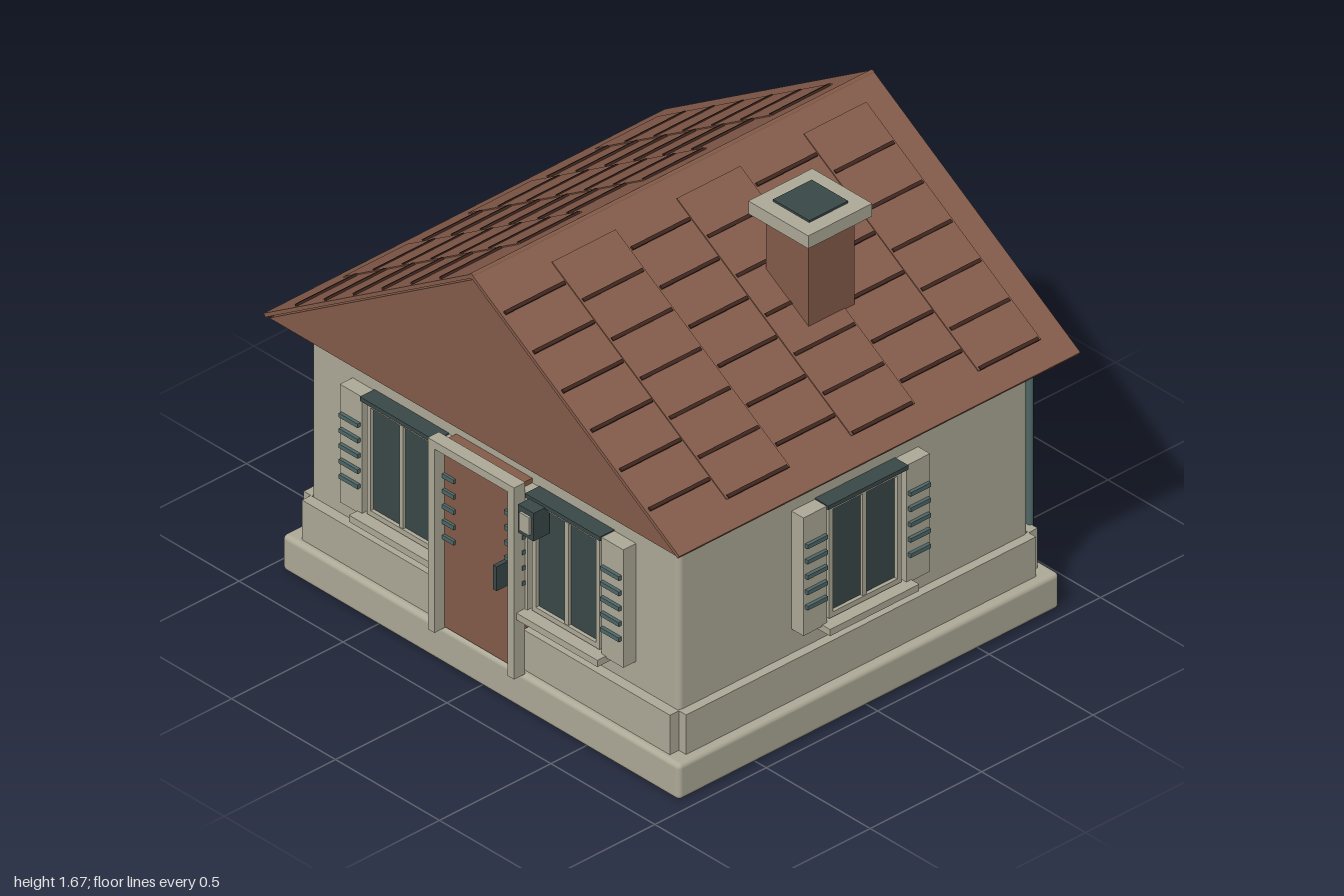
import * as THREE from 'three';
import { RoundedBoxGeometry } from 'three/addons/geometries/RoundedBoxGeometry.js';

const mat = (name, color) => {
  const m = new THREE.MeshStandardMaterial({ color });
  m.name = name;
  return m;
};

export function createModel() {
  const stone = mat('stone', 0xaeaa98);
  const brown = mat('clay brown', 0x855c4a);
  const groove = mat('dark brown', 0x40271f);
  const dark = mat('dark slate', 0x3a4848);
  const teal = mat('slat grey', 0x506868);

  const house = new THREE.Group();
  house.name = 'house';

  const add = (parent, name, geo, m) => {
    const mesh = new THREE.Mesh(geo, m);
    mesh.name = name;
    parent.add(mesh);
    return mesh;
  };
  // Box given by its extents on each axis
  const box = (parent, name, m, x0, x1, y0, y1, z0, z1, r = 0) => {
    const [w, h, d] = [x1 - x0, y1 - y0, z1 - z0];
    const geo = r ? new RoundedBoxGeometry(w, h, d, 3, r) : new THREE.BoxGeometry(w, h, d);
    const mesh = add(parent, name, geo, m);
    mesh.position.set((x0 + x1) / 2, (y0 + y1) / 2, (z0 + z1) / 2);
    return mesh;
  };

  // Base, walls and skirting
  box(house, 'base', stone, -0.955, 0.955, 0, 0.14, -0.86, 0.85, 0.018);
  box(house, 'walls', stone, -0.885, 0.885, 0.12, 0.99, -0.785, 0.785, 0.02);
  for (const s of [-1, 1]) {
    const x = s * 0.9, z = s * 0.805;
    box(house, 'sideSkirting', stone, x - 0.02, x + 0.02, 0.14, 0.295, -0.785, 0.785);
    box(house, 'endSkirting', stone, -0.885, 0.885, 0.14, 0.295, z - 0.02, z + 0.02);
  }

  // Window with frame, sill, lintel and slatted shutters, facing +z
  const addWindow = (x, z, turn) => {
    const g = new THREE.Group();
    g.name = 'window';
    g.position.set(x, 0, z);
    g.rotation.y = turn;
    house.add(g);
    box(g, 'surround', dark, -0.178, 0.178, 0.395, 0.85, -0.01, 0.03);
    box(g, 'lintel', dark, -0.18, 0.18, 0.84, 0.856, -0.01, 0.065);
    box(g, 'glass', dark, -0.15, 0.15, 0.41, 0.83, 0.03, 0.036);
    box(g, 'mullion', stone, -0.009, 0.009, 0.41, 0.83, 0.03, 0.047);
    box(g, 'frameTop', stone, -0.16, 0.16, 0.822, 0.84, 0.02, 0.05);
    box(g, 'frameBottom', stone, -0.16, 0.16, 0.4, 0.42, 0.02, 0.05);
    box(g, 'sill', stone, -0.2, 0.2, 0.37, 0.396, -0.01, 0.095);
    for (const s of [-1, 1]) {
      const fx = s * 0.153, sx = s * 0.231;
      box(g, 'frameSide', stone, fx - 0.009, fx + 0.009, 0.4, 0.84, 0.02, 0.05);
      box(g, 'shutter', stone, sx - 0.053, sx + 0.053, 0.39, 0.852, -0.01, 0.057);
      for (let i = 0; i < 5; i++) {
        const y = 0.5 + i * 0.06;
        box(g, 'slat', teal, sx - 0.045, sx + 0.045, y - 0.008, y + 0.008, 0.04, 0.07);
      }
    }
  };
  for (const x of [-0.4, 0.395]) addWindow(x, 0.785, 0);
  for (const x of [-0.4, 0.4]) addWindow(x, -0.785, Math.PI);
  addWindow(0.885, -0.005, Math.PI / 2);
  addWindow(-0.885, -0.005, -Math.PI / 2);

  // Door with jambs, handle and wall lamp
  box(house, 'door', brown, -0.185, 0.18, 0.145, 0.87, 0.78, 0.845);
  box(house, 'doorJamb', stone, -0.21, -0.178, 0.14, 0.89, 0.84, 0.89);
  box(house, 'doorJamb', stone, 0.173, 0.205, 0.14, 0.89, 0.84, 0.89);
  box(house, 'doorHead', stone, -0.178, 0.173, 0.86, 0.89, 0.84, 0.89);
  box(house, 'doorHandle', dark, 0.12, 0.137, 0.46, 0.555, 0.84, 0.905);
  box(house, 'lamp', dark, 0.235, 0.31, 0.735, 0.845, 0.83, 0.9);
  box(house, 'lampPanel', stone, 0.25, 0.297, 0.755, 0.825, 0.9, 0.909);

  // Gable block under the roof slabs
  const tri = new THREE.Shape();
  tri.moveTo(-0.978, 0.99);
  tri.lineTo(0.978, 0.99);
  tri.lineTo(0, 1.606);
  tri.closePath();
  const gable = new THREE.ExtrudeGeometry(tri, { depth: 1.79, bevelEnabled: false });
  add(house, 'gable', gable, brown).position.z = -0.905;

  // Roof slopes: slab, raised tile bands and dark tile edges
  const angle = Math.atan(0.63), c = Math.cos(angle);
  const bandEdges = [-0.81, -0.53, -0.245, 0.04, 0.315, 0.6, 0.885];
  for (const s of [-1, 1]) {
    const slope = new THREE.Group();
    slope.name = s > 0 ? 'leftRoofSlope' : 'rightRoofSlope';
    slope.position.y = 1.63;
    slope.rotation.z = -s * angle;
    house.add(slope);
    // World x distance along the slope to the slope's own length
    const strip = (name, m, a, b, y0, y1, z0, z1) => {
      const p = [a / c, b / c].sort((u, v) => u - v);
      box(slope, name, m, p[0], p[1], y0, y1, z0, z1);
    };
    strip('roofSlab', brown, s * 0.008, s, -0.014, 0, -0.91, 0.89);
    for (let b = 0; b < 6; b++) {
      const [z0, z1] = [bandEdges[b], bandEdges[b + 1]];
      const even = b % 2 === 0;
      const shift = s > 0 ? 0 : -1;
      const start = (even ? 0.215 : 0.145) + shift;
      if (even) strip('tileBand', brown, 0.075 + shift, 0.915 + shift, -0.002, 0.004, z0, z1);
      for (let i = 0; i < 6; i++) {
        const x = start + i * 0.139;
        strip('tileEdge', groove, x - 0.0055, x + 0.0055, -0.002, 0.008, z0 + 0.008, z1 - 0.008);
      }
    }
  }
  const ridge = add(house, 'ridge', new THREE.CylinderGeometry(0.011, 0.011, 1.8, 8), brown);
  ridge.rotation.x = Math.PI / 2;
  ridge.position.set(0, 1.62, -0.01);

  // Chimney
  box(house, 'chimney', brown, 0.375, 0.58, 1.2, 1.61, -0.287, -0.082);
  box(house, 'chimneyCap', stone, 0.332, 0.62, 1.61, 1.66, -0.33, -0.043);
  box(house, 'flue', dark, 0.389, 0.564, 1.66, 1.668, -0.274, -0.1);

  // Gutter and downpipes on the back
  box(house, 'gutter', dark, -0.86, 0.86, 0.965, 0.99, -0.84, -0.785);
  for (const s of [-1, 1]) {
    const pipe = add(house, 'downpipe', new THREE.CylinderGeometry(0.013, 0.013, 0.85, 10), teal);
    pipe.position.set(s * 0.845, 0.565, -0.828);
  }
  return house;
}
